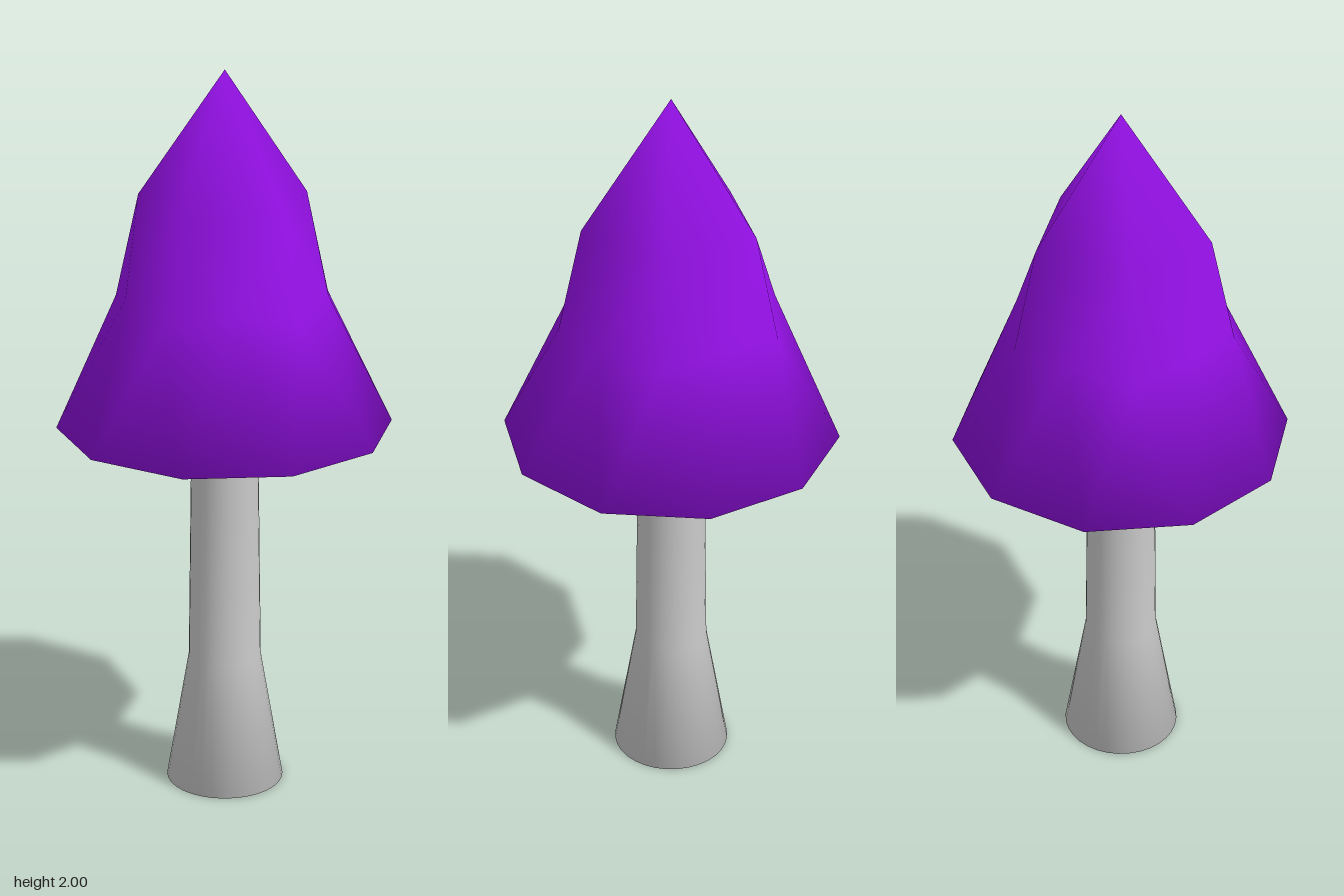
import * as THREE from 'three';

const capColor = new THREE.MeshStandardMaterial({ color: 0x9010e0 });
capColor.name = 'purple cap';
const stalkColor = new THREE.MeshStandardMaterial({ color: 0xc8c8c8 });
stalkColor.name = 'pale grey stalk';

// Faceted dome: apex, 5-point ring, 10-point ring, staggered 10-point rim, flat underside
function capGeometry() {
  const pos = [0, 2, 0], index = [];
  const add = (r, y, deg) => {
    const a = THREE.MathUtils.degToRad(deg);
    pos.push(r * Math.cos(a), y, r * Math.sin(a));
  };
  for (let k = 0; k < 5; k++) add(0.235, 1.66, 72 * k);
  for (let k = 0; k < 10; k++) k % 2 ? add(0.28, 1.415, 36 * k) : add(0.3, 1.38, 36 * k);
  for (let k = 0; k < 10; k++) add(0.453, 1.04, 18 + 36 * k);

  const A = k => 1 + (k % 5), B = k => 6 + (k % 10), C = k => 16 + (k % 10);
  for (let k = 0; k < 5; k++) {
    index.push(0, A(k + 1), A(k));
    index.push(A(k), B(2 * k + 1), B(2 * k));
    index.push(A(k), A(k + 1), B(2 * k + 1));
    index.push(A(k + 1), B(2 * k + 2), B(2 * k + 1));
  }
  for (let k = 0; k < 10; k++) {
    index.push(B(k), B(k + 1), C(k));
    index.push(B(k + 1), C(k + 1), C(k));
  }
  for (let k = 1; k < 9; k++) index.push(C(0), C(k), C(k + 1));

  const geo = new THREE.BufferGeometry();
  geo.setAttribute('position', new THREE.Float32BufferAttribute(pos, 3));
  geo.setIndex(index);
  geo.computeVertexNormals();

  // Even rim normals, shared smoothly between the sides and the underside
  for (let k = 0; k < 10; k++) {
    const a = THREE.MathUtils.degToRad(18 + 36 * k);
    geo.attributes.normal.setXYZ(C(k), 0.9 * Math.cos(a), -0.436, 0.9 * Math.sin(a));
  }
  return geo;
}

export function createModel() {
  const model = new THREE.Group();
  model.name = 'mushroom';

  const cap = new THREE.Mesh(capGeometry(), capColor);
  cap.name = 'cap';

  // Stalk flaring out at the foot, closed underneath
  const profile = [[0, 0], [0.163, 0], [0.1, 0.37], [0.09, 1.04]];
  const stalk = new THREE.Mesh(
    new THREE.LatheGeometry(profile.map(([r, y]) => new THREE.Vector2(r, y)), 32),
    stalkColor
  );
  stalk.name = 'stalk';

  model.add(cap, stalk);
  return model;
}
